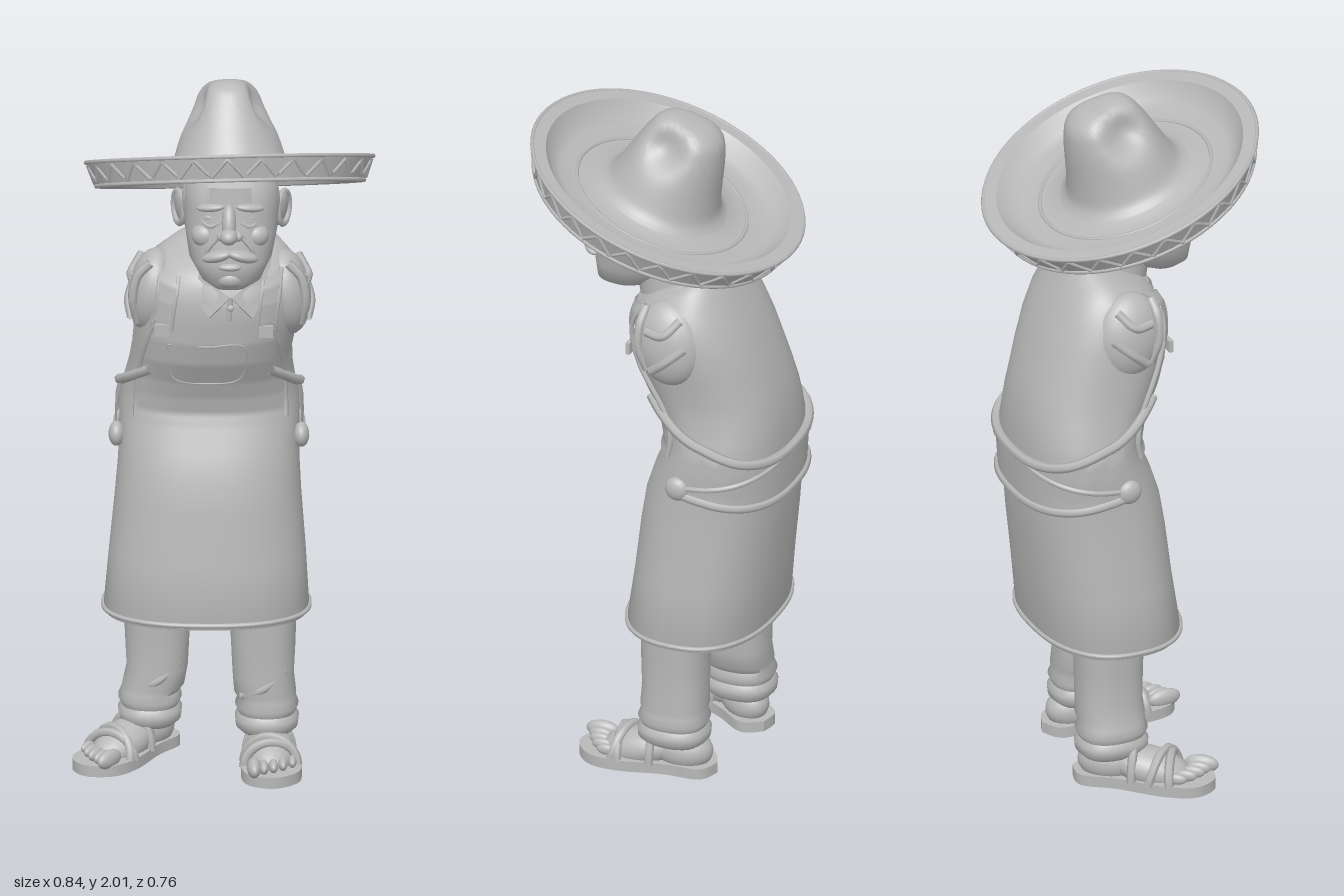
import * as THREE from 'three';
import { toCreasedNormals } from 'three/addons/utils/BufferGeometryUtils.js';
import { ParametricGeometry } from 'three/addons/geometries/ParametricGeometry.js';

const clay = new THREE.MeshStandardMaterial({ color: 0xb8b8b8, side: THREE.DoubleSide });
clay.name = 'grey clay';
const V = (x, y, z) => new THREE.Vector3(x, y, z);
const POW = 2 / 2.4;
const sp = (v) => Math.sign(v) * Math.abs(v) ** POW;

function add(parent, name, geo, pos = [0, 0, 0], rot = [0, 0, 0], scale = [1, 1, 1]) {
  const m = new THREE.Mesh(geo, clay);
  m.name = name;
  m.position.set(...pos);
  m.rotation.set(...rot);
  m.scale.set(...scale);
  parent.add(m);
  return m;
}
const ball = (p, name, pos, r, rot) => add(p, name, new THREE.SphereGeometry(1, 24, 16), pos, rot, r);
const tube = (p, name, pts, r, n = 40) =>
  add(p, name, new THREE.TubeGeometry(new THREE.CatmullRomCurve3(pts), n, r, 6));
const sheet = (p, name, fn, nu, nv) =>
  add(p, name, new ParametricGeometry((u, v, t) => t.copy(fn(u, v)), nu, nv));

// A ring is [y, x0, x1, z0, z1, tilt]
function ringPoint(k, a, off = 0) {
  const cx = (k[1] + k[2]) / 2, cz = (k[3] + k[4]) / 2;
  const z = ((k[4] - k[3]) / 2 + off) * sp(Math.sin(a));
  return V(cx + ((k[2] - k[1]) / 2 + off) * sp(Math.cos(a)), k[0] + (k[5] || 0) * z, cz + z);
}

function loft(rings, seg = 48) {
  const pos = [], idx = [];
  const push = (v) => pos.push(v.x, v.y, v.z);
  rings.forEach((k) => {
    for (let i = 0; i < seg; i++) push(ringPoint(k, (i / seg) * Math.PI * 2));
  });
  const n = rings.length;
  for (let j = 0; j < n - 1; j++) for (let i = 0; i < seg; i++) {
    const a = j * seg + i, b = j * seg + ((i + 1) % seg);
    idx.push(a, a + seg, b, b, a + seg, b + seg);
  }
  [rings[0], rings[n - 1]].forEach((k) => push(V((k[1] + k[2]) / 2, k[0], (k[3] + k[4]) / 2)));
  const top = (n - 1) * seg;
  for (let i = 0; i < seg; i++) {
    const j = (i + 1) % seg;
    idx.push(n * seg, i, j, n * seg + 1, top + j, top + i);
  }
  const g = new THREE.BufferGeometry();
  g.setAttribute('position', new THREE.Float32BufferAttribute(pos, 3));
  g.setIndex(idx);
  return toCreasedNormals(g, 0.9);
}

const BODY = [
  [0.46, -0.32, 0.21, -0.285, 0.08], [0.425, -0.335, 0.225, -0.3, 0.095],
  [0.44, -0.34, 0.23, -0.304, 0.1], [0.6, -0.325, 0.22, -0.32, 0.078],
  [0.75, -0.31, 0.208, -0.338, 0.062], [0.84, -0.302, 0.203, -0.346, 0.048],
  [0.92, -0.297, 0.2, -0.35, 0.022], [0.98, -0.298, 0.202, -0.352, -0.004],
  [1.03, -0.296, 0.2, -0.352, -0.02], [1.08, -0.285, 0.19, -0.348, -0.008],
  [1.13, -0.272, 0.183, -0.343, 0.012], [1.19, -0.262, 0.182, -0.33, 0.045],
  [1.26, -0.256, 0.195, -0.308, 0.066], [1.33, -0.25, 0.205, -0.28, 0.072, -0.06],
  [1.39, -0.242, 0.208, -0.247, 0.072, -0.15], [1.45, -0.215, 0.19, -0.205, 0.066, -0.3],
  [1.485, -0.165, 0.16, -0.18, 0.055, -0.4], [1.51, -0.1, 0.12, -0.165, 0.03, -0.45],
];

// Interpolated body ring, so details can hug the surface
function bodyRing(y) {
  let j = 2;
  while (j < BODY.length - 2 && BODY[j + 1][0] < y) j++;
  const t = THREE.MathUtils.clamp((y - BODY[j][0]) / (BODY[j + 1][0] - BODY[j][0]), 0, 1);
  return [0, 1, 2, 3, 4, 5].map((i) => THREE.MathUtils.lerp(BODY[j][i] || 0, BODY[j + 1][i] || 0, t));
}
const around = (y, a, off) => ringPoint(bodyRing(y), a, off);
function front(x, y, off) {
  const k = bodyRing(y);
  const c = THREE.MathUtils.clamp((2 * x - k[1] - k[2]) / (k[2] - k[1]), -1, 1);
  const p = ringPoint(k, Math.acos(Math.sign(c) * Math.abs(c) ** (1 / POW)));
  return V(x, p.y, p.z + off);
}

function buildClothes(g) {
  add(g, 'body and apron skirt', loft(BODY, 64));
  const hem = [];
  for (let i = 0; i <= 40; i++) hem.push(around(0.44, (i / 40) * Math.PI * 2, 0.001));
  tube(g, 'apron hem', hem, 0.007, 80);

  // Apron bib, straps and pocket
  const L = (v) => -0.25 + 0.06 * v * v, R = (v) => 0.165 - 0.035 * v * v;
  sheet(g, 'apron bib', (u, v) => front(L(v) + (R(v) - L(v)) * u, 1 + 0.33 * v, 0.012), 24, 20);
  const edge = [];
  for (let i = 0; i <= 8; i++) edge.push(front(L(i / 8), 1 + 0.33 * (i / 8), 0.008));
  for (let i = 8; i >= 0; i--) edge.push(front(R(i / 8), 1 + 0.33 * (i / 8), 0.008));
  tube(g, 'bib edge', edge, 0.008, 60);
  for (const [x0, x1] of [[-0.175, -0.155], [0.112, 0.13]]) {
    sheet(g, 'apron strap', (u, v) => front(x0 + (x1 - x0) * v + (u - 0.5) * 0.05, 1.3 + 0.18 * v, 0.016), 4, 16);
    for (const s of [-0.025, 0.025]) {
      const line = [0, 0.25, 0.5, 0.75, 1].map((v) => front(x0 + (x1 - x0) * v + s, 1.3 + 0.18 * v, 0.012));
      tube(g, 'strap edge', line, 0.006, 16);
    }
    const p = front(x0, 1.3, 0.022);
    add(g, 'strap buckle', new THREE.BoxGeometry(0.04, 0.035, 0.012), [p.x, p.y, p.z]);
  }
  const pocket = [[-0.16, 1.25], [-0.145, 1.14], [-0.05, 1.125], [0.04, 1.14], [0.05, 1.25], [-0.05, 1.25], [-0.16, 1.25]];
  tube(g, 'pocket seam', pocket.map(([x, y]) => front(x, y, 0.012)), 0.003, 60);

  // Shirt tail and apron strings wrapped around the back
  const bow = (lo, rise, reach, pw) => (s) => [lo + rise * Math.abs(s) ** pw, -Math.PI / 2 + s * (Math.PI / 2 + reach)];
  const upper = bow(1.0, 0.16, 0.85, 2), middle = bow(1.0, -0.07, 0.25, 1), lower = bow(0.87, 0.05, 0.25, 2);
  sheet(g, 'shirt tail', (u, v) => {
    const [y0, a] = lower(u * 2 - 1), y1 = upper((u * 2 - 1) * 0.75)[0];
    return around(y0 + (y1 - y0) * v, a, 0.012);
  }, 40, 8);
  for (const [f, r] of [[upper, 0.014], [middle, 0.009], [lower, 0.013]]) {
    const pts = [];
    for (let i = -16; i <= 16; i++) pts.push(around(...f(i / 16), 0.01));
    tube(g, 'apron string', pts, r, 80);
  }
  for (const a of [0.2, Math.PI - 0.2]) {
    const p = around(0.93, a, 0.012);
    ball(g, 'string knot', [p.x, p.y, p.z], [0.022, 0.035, 0.035]);
  }

  // Short sleeves with folds
  for (const s of [1, -1]) {
    const arm = new THREE.Group();
    arm.name = 'sleeve';
    arm.position.set(-0.018 + s * 0.185, 1.365, -0.075);
    arm.rotation.set(0.15, 0, s * 0.12);
    ball(arm, 'sleeve cap', [0, 0, 0], [0.068, 0.125, 0.1]);
    const fold = (name, pts, r) => tube(arm, name, pts.map(([x, y, z]) => V(s * x, y, z)), r, 24);
    fold('armhole seam', [[0.02, 0.11, 0.05], [0.05, 0.07, 0.06], [0.055, 0, 0.07], [0.035, -0.07, 0.06]], 0.013);
    fold('upper fold', [[0.04, 0.08, -0.06], [0.065, 0.04, -0.01], [0.06, 0.05, 0.04]], 0.014);
    fold('lower fold', [[0.05, 0.0, -0.07], [0.062, -0.04, -0.01], [0.05, -0.07, 0.04]], 0.014);
    g.add(arm);
  }

  // Neck, collar and shirt front
  add(g, 'neck', new THREE.CylinderGeometry(0.09, 0.1, 0.26, 28), [0.015, 1.49, -0.02], [0.2, 0, 0]);
  add(g, 'collar', loft([[1.44, -0.125, 0.155, -0.185, 0.085, -0.5], [1.47, -0.12, 0.15, -0.18, 0.08, -0.5],
    [1.5, -0.095, 0.125, -0.155, 0.06, -0.5], [1.475, -0.085, 0.115, -0.145, 0.05, -0.5]]));
  for (const s of [1, -1]) {
    const flap = new THREE.Shape([[0, 0], [s * 0.09, 0.075], [s * 0.1, 0.0], [s * 0.06, -0.055]].map((p) => new THREE.Vector2(...p)));
    add(g, 'collar flap', new THREE.ExtrudeGeometry(flap, { depth: 0.012, bevelEnabled: false }),
      [0.015, 1.395, 0.08], [-0.25, s * 0.35, 0]);
  }
  tube(g, 'shirt placket', [V(0.015, 1.4, 0.08), V(0.012, 1.36, 0.08), V(0.01, 1.33, 0.08)], 0.009, 10);
  ball(g, 'shirt button', [0.015, 1.37, 0.09], [0.009, 0.009, 0.006]);
}

function buildHead(g) {
  add(g, 'head', loft([[1.45, -0.03, 0.06, 0.08, 0.165], [1.475, -0.065, 0.1, 0.03, 0.193], [1.53, -0.1, 0.13, -0.05, 0.198],
    [1.6, -0.112, 0.145, -0.1, 0.185], [1.67, -0.115, 0.148, -0.125, 0.172], [1.72, -0.113, 0.146, -0.125, 0.165, 0.2],
    [1.77, -0.08, 0.11, -0.1, 0.1, 0.2]]));
  ball(g, 'nose bridge', [0.012, 1.655, 0.185], [0.02, 0.052, 0.026], [-0.4, 0, 0]);
  ball(g, 'nose tip', [0.012, 1.622, 0.208], [0.025, 0.023, 0.032]);
  ball(g, 'chin', [0.015, 1.488, 0.165], [0.045, 0.03, 0.035]);
  ball(g, 'lower lip', [0.015, 1.528, 0.196], [0.032, 0.011, 0.015]);
  ball(g, 'back hair', [0.015, 1.625, -0.05], [0.132, 0.1, 0.095], [0.25, 0, 0]);
  for (const s of [1, -1]) {
    const P = (x, y, z) => [0.015 + s * x, y, z];
    ball(g, 'nostril', P(0.022, 1.617, 0.192), [0.014, 0.014, 0.016]);
    ball(g, 'moustache', P(0.036, 1.562, 0.2), [0.046, 0.017, 0.028], [0, s * 0.4, -s * 0.3]);
    ball(g, 'cheek', P(0.07, 1.605, 0.14), [0.038, 0.036, 0.036]);
    ball(g, 'eye', P(0.052, 1.66, 0.15), [0.022, 0.013, 0.016]);
    tube(g, 'eye bag', [V(...P(0.028, 1.65, 0.17)), V(...P(0.055, 1.638, 0.168)), V(...P(0.083, 1.65, 0.145))], 0.006, 14);
    ball(g, 'eyebrow', P(0.055, 1.69, 0.156), [0.042, 0.012, 0.02], [0, s * 0.35, -s * 0.15]);
    tube(g, 'cheek fold', [V(...P(0.035, 1.61, 0.185)), V(...P(0.062, 1.575, 0.185)), V(...P(0.066, 1.53, 0.172))], 0.007, 14);
    ball(g, 'ear', P(0.138, 1.63, -0.012), [0.014, 0.052, 0.034], [0.1, s * -0.45, -s * 0.15]);
    add(g, 'ear rim', new THREE.TorusGeometry(0.034, 0.008, 8, 24), P(0.146, 1.632, -0.014),
      [0, Math.PI / 2 - s * 0.45, 0], [1, 1.35, 1]);
    ball(g, 'sideburn', P(0.118, 1.675, 0.035), [0.018, 0.055, 0.028]);
  }
}

function buildHat(g) {
  const hat = new THREE.Group();
  hat.name = 'wide brimmed hat';
  hat.position.set(0.013, 1.71, 0.02);
  hat.rotation.set(-0.356, 0, 0.03);
  const crown = new THREE.SplineCurve([[0.19, 0.027], [0.165, 0.05], [0.148, 0.1], [0.133, 0.16], [0.118, 0.215],
    [0.098, 0.262], [0.065, 0.286], [0.03, 0.292], [0, 0.292]].map((p) => new THREE.Vector2(...p))).getPoints(32);
  const brim = [[0, 0.03], [0.2, 0.022], [0.3, 0.016], [0.31, 0], [0.37, 0], [0.385, 0.036], [0.4, 0.073], [0.36, 0.073],
    [0.325, 0.03], [0.3, 0.022], [0.24, 0.02]].map((p) => new THREE.Vector2(...p));
  crown[crown.length - 1].x = 0;
  const geo = new THREE.LatheGeometry([...brim, ...crown], 72);
  // Pinch the crown on both front sides
  const pos = geo.attributes.position;
  for (let i = 0; i < pos.count; i++) {
    const x = pos.getX(i), y = pos.getY(i), z = pos.getZ(i);
    if (y < 0.08 || Math.hypot(x, z) > 0.2) continue;
    const d = ((Math.abs(x) - 0.1) / 0.05) ** 2 + ((y - 0.235) / 0.07) ** 2 + ((z - 0.03) / 0.06) ** 2;
    const k = Math.exp(-d);
    pos.setX(i, x * (1 - 0.42 * k));
    pos.setY(i, y - 0.02 * k);
  }
  add(hat, 'hat brim and crown', toCreasedNormals(geo, 0.6));
  for (const [r, y] of [[0.372, 0.004], [0.399, 0.07], [0.25, 0.019]])
    add(hat, 'brim cord', new THREE.TorusGeometry(r, 0.006, 6, 72), [0, y, 0], [Math.PI / 2, 0, 0]);
  // Zigzag trim around the brim wall
  const teeth = 26, path = new THREE.CurvePath();
  const zig = (i) => {
    const a = (i / teeth) * Math.PI, y = i % 2 ? 0.061 : 0.012, r = 0.371 + 0.41 * y;
    return V(r * Math.cos(a), y, r * Math.sin(a));
  };
  for (let i = 0; i < teeth * 2; i++) path.add(new THREE.LineCurve3(zig(i), zig(i + 1)));
  add(hat, 'zigzag trim', new THREE.TubeGeometry(path, teeth * 8, 0.0055, 5, true));
  g.add(hat);
}

function buildLeg(g, s, x, z, foot, turn) {
  const r = (y, dx, rx, rz) => [y, x + dx - rx, x + dx + rx, z - rz, z + rz];
  const d = s < 0 ? -0.02 : 0.01;
  add(g, 'trouser leg', loft([r(0.085, d, 0.07, 0.085), r(0.1, d, 0.086, 0.1), r(0.125, d, 0.089, 0.102), r(0.14, d, 0.079, 0.092),
    r(0.16, d, 0.088, 0.1), r(0.18, d, 0.08, 0.092), r(0.2, d / 2, 0.086, 0.095), r(0.25, 0, 0.085, 0.092),
    r(0.35, 0, 0.09, 0.094), r(0.6, 0, 0.094, 0.1)], 32));
  tube(g, 'trouser crease', [V(x - 0.06, 0.2, z + 0.065), V(x, 0.225, z + 0.088), V(x + 0.06, 0.275, z + 0.062)], 0.011, 16);

  // Sandal and foot, built pointing to +z
  const f = new THREE.Group();
  f.name = 'sandalled foot';
  f.position.set(...foot);
  f.rotation.y = turn;
  const sole = new THREE.Shape();
  sole.setFromPoints(new THREE.SplineCurve([[0, -0.2], [0.058, -0.165], [0.062, -0.06], [0.085, 0.07], [0.07, 0.16], [0.0, 0.205],
    [-0.07, 0.165], [-0.083, 0.07], [-0.062, -0.06], [-0.058, -0.165], [0, -0.2]].map((p) => new THREE.Vector2(...p))).getPoints(48));
  const soleGeo = new THREE.ExtrudeGeometry(sole, { depth: 0.032, bevelEnabled: false });
  add(f, 'sandal sole', toCreasedNormals(soleGeo, 0.6), [0, 0.032, 0], [Math.PI / 2, 0, 0]);
  ball(f, 'instep', [0, 0.05, 0.02], [0.068, 0.055, 0.12], [0.22, 0, 0]);
  ball(f, 'heel', [0, 0.06, -0.1], [0.06, 0.06, 0.085]);
  for (let i = 0; i < 5; i++) {
    const big = i === 0 ? 1.35 : 1 - i * 0.05;
    ball(f, 'toe', [-s * (0.05 - i * 0.027), 0.046, 0.155 - i * i * 0.003], [0.0145 * big, 0.02 * big, 0.036 * big]);
  }
  const strap = (z0, z1, h, w) => {
    const pts = [];
    for (let i = 0; i <= 10; i++) {
      const a = (i / 10) * Math.PI;
      pts.push(V(w * Math.cos(a), 0.025 + h * Math.sin(a), z0 + (z1 - z0) * (i / 10)));
    }
    tube(f, 'sandal strap', pts, 0.013, 24);
  };
  strap(0.07, 0.09, 0.068, 0.076);
  strap(0.09, 0.03, 0.078, 0.074);
  strap(-0.02, -0.02, 0.1, 0.066);
  g.add(f);
}

export function createModel() {
  const g = new THREE.Group();
  g.name = 'old man in hat and apron';
  buildClothes(g);
  buildHead(g);
  buildHat(g);
  buildLeg(g, 1, 0.103, -0.068, [0.122, 0, 0.003], 0.06);
  buildLeg(g, -1, -0.192, -0.13, [-0.272, 0, -0.06], -0.62);
  return g;
}
